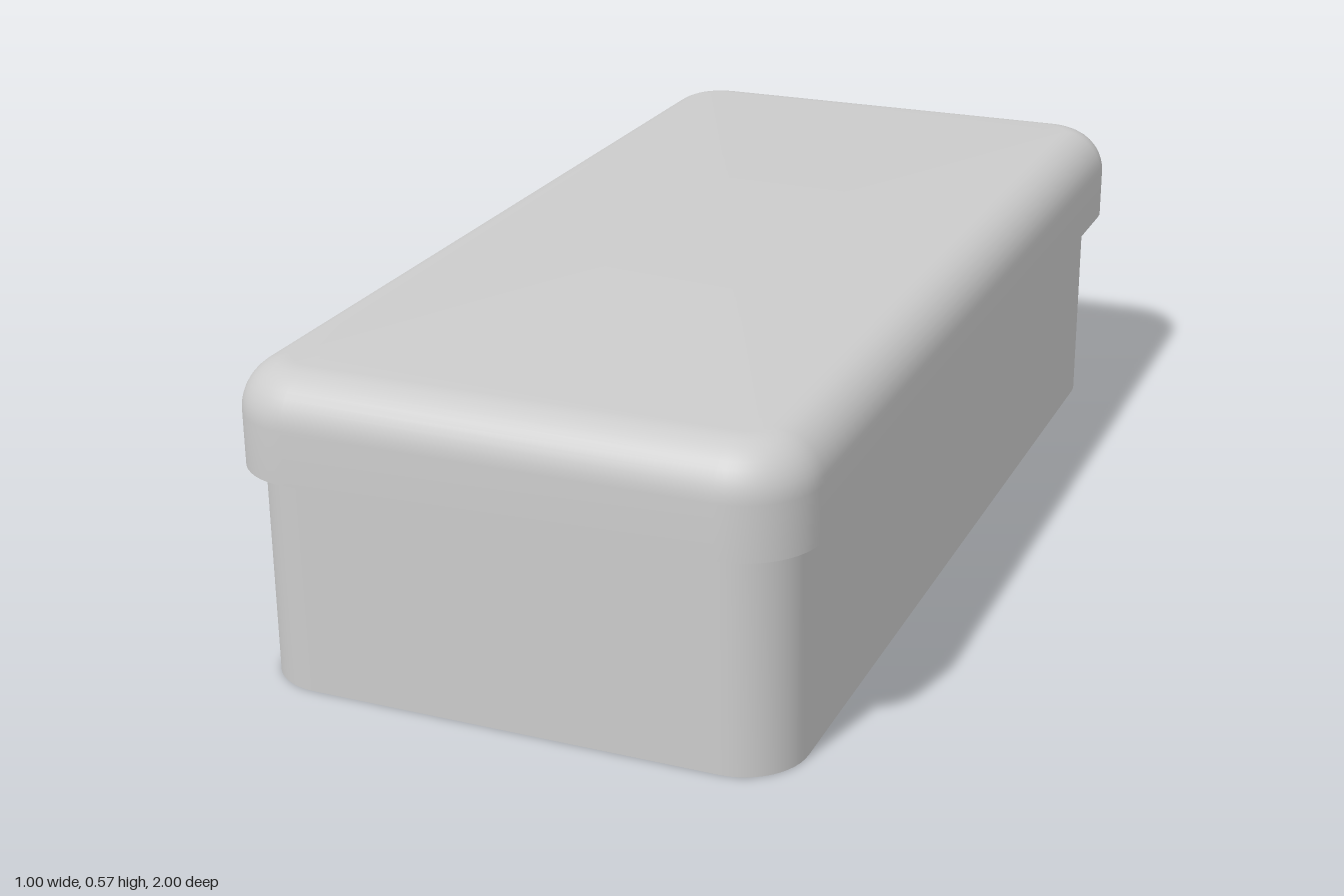
import * as THREE from 'three';
import { toCreasedNormals } from 'three/addons/utils/BufferGeometryUtils.js';

const CORNER_STEPS = 12;

// Stack rounded-rectangle rings; each level is [inset, y]. Both ends are capped.
function roundedStack(width, depth, radius, levels) {
  const positions = [];
  const index = [];
  const count = 4 * (CORNER_STEPS + 1);
  const cx = width / 2 - radius;
  const cz = depth / 2 - radius;
  const corners = [[1, 1], [-1, 1], [-1, -1], [1, -1]];

  for (const [inset, y] of levels) {
    corners.forEach(([sx, sz], q) => {
      for (let i = 0; i <= CORNER_STEPS; i++) {
        const a = (q + i / CORNER_STEPS) * Math.PI / 2;
        const r = radius - inset;
        positions.push(sx * cx + r * Math.cos(a), y, sz * cz + r * Math.sin(a));
      }
    });
  }

  const last = levels.length - 1;
  const bottom = positions.length / 3;
  positions.push(0, levels[0][1], 0, 0, levels[last][1], 0);

  for (let i = 0; i < count; i++) {
    const j = (i + 1) % count;
    for (let k = 0; k < last; k++) {
      const a = k * count;
      const b = a + count;
      index.push(a + i, b + i, b + j, a + i, b + j, a + j);
    }
    index.push(bottom, i, j);
    index.push(bottom + 1, last * count + j, last * count + i);
  }

  const geometry = new THREE.BufferGeometry();
  geometry.setAttribute('position', new THREE.Float32BufferAttribute(positions, 3));
  geometry.setIndex(index);
  return toCreasedNormals(geometry, Math.PI / 5);
}

export function createModel() {
  const group = new THREE.Group();
  group.name = 'liddedBox';
  const material = new THREE.MeshStandardMaterial({ color: 0xcccccc });

  // Straight-walled box, reaching a little way up inside the lid
  const body = new THREE.Mesh(
    roundedStack(0.953, 1.905, 0.11, [[0, 0], [0, 0.42]]), material);
  body.name = 'boxBody';
  body.position.set(-0.006, 0, 0.002);
  group.add(body);

  // Overhanging lid with a quarter-round top edge
  const top = 0.573;
  const edge = 0.085;
  const levels = [[0, 0.394]];
  for (let i = 0; i <= 10; i++) {
    const a = (i / 10) * Math.PI / 2;
    levels.push([edge * (1 - Math.cos(a)), top - edge + edge * Math.sin(a)]);
  }
  const lid = new THREE.Mesh(roundedStack(1, 2, 0.13, levels), material);
  lid.name = 'lid';
  group.add(lid);

  return group;
}
